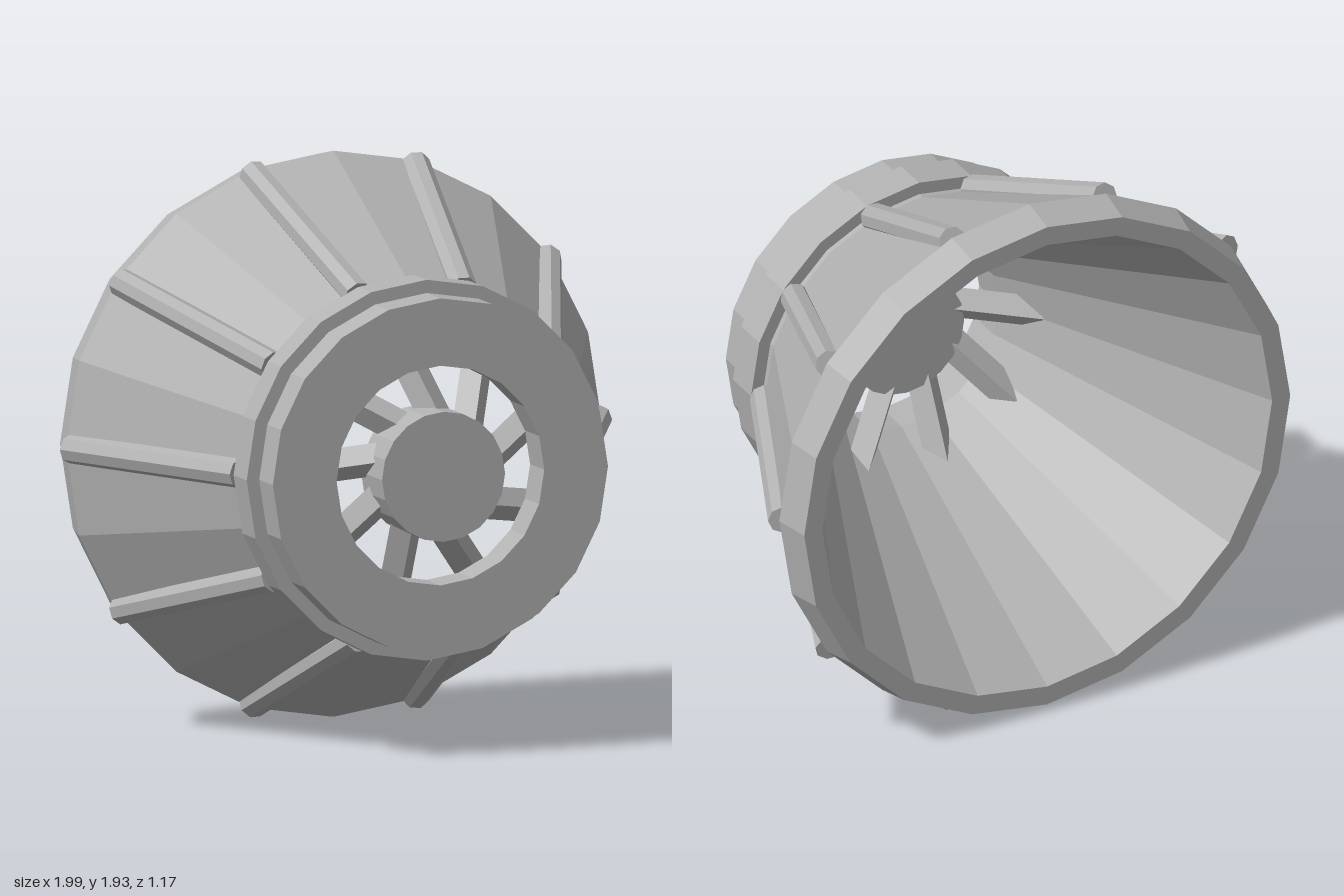
import * as THREE from 'three';

const SIDES = 20;
const CENTER_Y = 0.968;

export function createModel() {
  const model = new THREE.Group();
  const grey = new THREE.MeshStandardMaterial({ color: 0xb2b2b2 });
  grey.name = 'grey metal';
  grey.flatShading = true;

  // Everything is built around the z axis, then lifted
  const nozzle = new THREE.Group();
  nozzle.name = 'nozzle';
  nozzle.position.y = CENTER_Y;
  model.add(nozzle);

  const add = (name, geometry, parent = nozzle) => {
    const mesh = new THREE.Mesh(geometry, grey);
    mesh.name = name;
    parent.add(mesh);
    return mesh;
  };

  // Profile points are [radius, z]; outer side runs from back to front
  const turned = (name, profile) => {
    const points = profile.map(([r, z]) => new THREE.Vector2(r, z));
    return add(name, new THREE.LatheGeometry(points, SIDES).rotateX(Math.PI / 2));
  };

  // Flared shell with a rim and a hollow interior
  turned('flaredShell', [
    [0.375, 0.42], [0.87, -0.585], [0.94, -0.585], [0.966, -0.46], [0.605, 0.28], [0.605, 0.31],
  ]);
  // Front plate with the round opening
  turned('frontPlate', [
    [0.605, 0.30], [0.605, 0.555], [0.375, 0.555], [0.375, 0.42],
  ]);
  // Raised collar behind the front plate
  turned('collar', [
    [0.60, 0.30], [0.65, 0.30], [0.65, 0.425], [0.60, 0.425],
  ]);

  // Hub in the middle of the opening
  const hub = add('hub', new THREE.CylinderGeometry(0.222, 0.222, 0.2, SIDES).rotateX(Math.PI / 2));
  hub.position.z = 0.485;

  // Slanted square spokes from the hub to the inner wall, set off the radius
  const spokeGeometry = new THREE.BoxGeometry(0.38, 0.08, 0.08)
    .rotateX(Math.PI / 4)
    .rotateY(0.46)
    .translate(0.3, -0.083, 0.385);
  for (let i = 0; i < 9; i++) {
    const spoke = add('spoke', spokeGeometry);
    spoke.rotation.z = -Math.PI / 2 + (i * Math.PI * 2) / 9;
  }

  // Ribs running along the outside of the shell
  const front = new THREE.Vector3(0.615, 0, 0.27);
  const back = new THREE.Vector3(0.952, 0, -0.458);
  const along = back.clone().sub(front);
  const tilt = new THREE.Quaternion().setFromUnitVectors(
    new THREE.Vector3(0, 1, 0), along.clone().normalize());
  const middle = front.clone().add(back).multiplyScalar(0.5);
  const ribGeometry = new THREE.CylinderGeometry(0.05, 0.05, along.length(), 8)
    .rotateY(Math.PI / 8)
    .applyQuaternion(tilt)
    .translate(middle.x, middle.y, middle.z);
  for (let i = 0; i < 10; i++) {
    const rib = add('rib', ribGeometry);
    rib.rotation.z = (i * Math.PI * 2) / 10;
  }

  return model;
}
